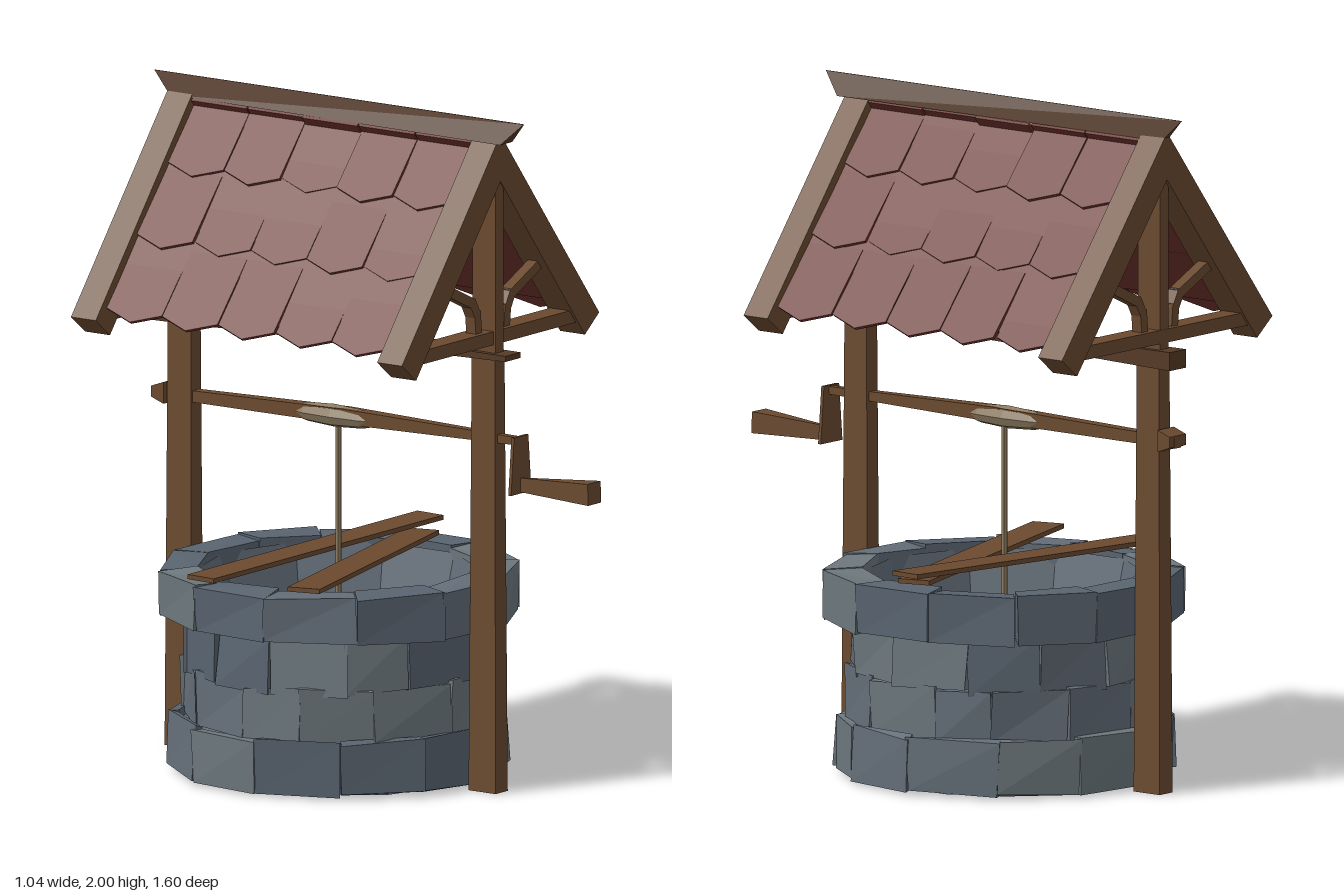
import * as THREE from 'three';

const mat = (color) => new THREE.MeshStandardMaterial({ color, flatShading: true, side: THREE.DoubleSide });
const WOOD = mat(0x6b4a2f), DARK_WOOD = mat(0x553a25), RED = mat(0x6b3029), ROPE = mat(0x8c7b60);
const STONES = [mat(0x636d78), mat(0x6c777c), mat(0x596470)];
const CX = -0.01, WELL_Z = -0.135, ROOF_Z = -0.14;
const SLOPE = 1.26, ANGLE = Math.atan(SLOPE);

let seed = 7;
const rand = () => (seed = (seed * 16807) % 2147483647) / 2147483647;
const jitter = (amount) => (rand() - 0.5) * 2 * amount;

function add(parent, name, geometry, material, x = 0, y = 0, z = 0) {
  const mesh = new THREE.Mesh(geometry, material);
  mesh.name = name;
  mesh.position.set(x, y, z);
  parent.add(mesh);
  return mesh;
}

// Moves every vertex of a geometry by a rule
function warp(geometry, rule) {
  const p = geometry.attributes.position, v = new THREE.Vector3();
  for (let i = 0; i < p.count; i++) {
    v.fromBufferAttribute(p, i);
    rule(v);
    p.setXYZ(i, v.x, v.y, v.z);
  }
  geometry.computeVertexNormals();
  return geometry;
}

// Squared timber from a to b; width and height at the start can be scaled
function beam(parent, name, a, b, w, h, startScale = [1, 1], material = WOOD) {
  const A = new THREE.Vector3(...a), B = new THREE.Vector3(...b);
  const geometry = warp(new THREE.BoxGeometry(w, h, A.distanceTo(B)), (v) => {
    if (v.z < 0) { v.x *= startScale[0]; v.y *= startScale[1]; }
  });
  const mesh = new THREE.Mesh(geometry, material);
  mesh.name = name;
  mesh.position.copy(A).lerp(B, 0.5);
  mesh.lookAt(B);
  parent.add(mesh);
}

// One rough block bent into a ring segment
function stoneBlock(a0, a1, r0, r1, y0, y1, rough) {
  const offsets = Array.from({ length: 8 }, () => [jitter(rough * 1.5), jitter(rough), jitter(rough)]);
  return warp(new THREE.BoxGeometry(1, 1, 1), (v) => {
    const o = offsets[(v.x > 0 ? 1 : 0) + (v.y > 0 ? 2 : 0) + (v.z > 0 ? 4 : 0)];
    const a = (v.x > 0 ? a1 : a0) + o[0];
    const r = v.z > 0 ? r1 + o[2] : r0;
    const y = Math.max(0.008, (v.y > 0 ? y1 : y0) + o[1]);
    v.set(r * Math.sin(a), y, r * Math.cos(a));
  });
}

function buildWell() {
  const well = new THREE.Group();
  well.name = 'stoneWell';
  well.position.set(0, 0, WELL_Z);
  // Lining with a ledge above the hollow base, open at the top and bottom
  const profile = [[0.47, 0.01], [0.46, 0.15], [0.36, 0.17], [0.385, 0.45], [0.415, 0.59]];
  add(well, 'innerShell', new THREE.LatheGeometry(profile.map((p) => new THREE.Vector2(...p)), 10), STONES[0]);
  // Rings of blocks: count, inner radius, outer radius, bottom, top, turn, roughness
  const rings = [
    ['baseStone', 12, 0.465, 0.495, 0.01, 0.17, 0.1, 0.009],
    ['lowerWallStone', 13, 0.4, 0.46, 0.16, 0.32, 0.3, 0.01],
    ['upperWallStone', 13, 0.4, 0.46, 0.31, 0.47, 0.05, 0.01],
    ['rimStone', 12, 0.415, 0.525, 0.465, 0.606, 0.2, 0.008],
  ];
  for (const [name, n, r0, r1, y0, y1, turn, rough] of rings) {
    const cuts = Array.from({ length: n }, (_, i) => turn + (i / n) * Math.PI * 2 + jitter(0.06));
    cuts.push(cuts[0] + Math.PI * 2);
    for (let i = 0; i < n; i++) {
      const block = stoneBlock(cuts[i], cuts[i + 1], r0, r1, y0, y1, rough);
      add(well, name, block, STONES[Math.floor(rand() * 3)]);
    }
  }
  return well;
}

// Timber chevron with tie beam and bent braces
function buildGable(z) {
  const gable = new THREE.Group();
  gable.name = 'gable';
  gable.position.z = z;
  const outline = [[0, 1.96], [-0.485, 1.35], [-0.415, 1.295], [0, 1.82], [0.415, 1.295], [0.485, 1.35]];
  const shape = new THREE.Shape(outline.map((p) => new THREE.Vector2(...p)));
  const boards = new THREE.ExtrudeGeometry(shape, { depth: 0.09, bevelEnabled: false });
  add(gable, 'gableBoards', boards, WOOD, 0, 0, -0.045);
  add(gable, 'tieBeam', new THREE.BoxGeometry(0.77, 0.04, 0.07), WOOD, 0, 1.355, 0);
  for (const s of [-1, 1]) {
    beam(gable, 'braceFoot', [s * 0.068, 1.365, 0], [s * 0.075, 1.44, 0], 0.035, 0.03);
    beam(gable, 'braceBend', [s * 0.072, 1.425, 0], [s * 0.1, 1.475, 0], 0.035, 0.03);
    beam(gable, 'braceArm', [s * 0.09, 1.465, 0], [s * 0.26, 1.545, 0], 0.035, 0.03);
  }
  return gable;
}

// One slope of the roof: a lining sheet and three rows of pointed shingles
function buildSlope() {
  const slope = new THREE.Group();
  slope.name = 'roofSlope';
  const up = new THREE.Vector3(-Math.cos(ANGLE), Math.sin(ANGLE), 0);
  const out = new THREE.Vector3(Math.sin(ANGLE), Math.cos(ANGLE), 0);
  const basis = new THREE.Matrix4().makeBasis(new THREE.Vector3(0, 0, -1), up, out);
  const lining = add(slope, 'roofLining', new THREE.BoxGeometry(1.03, 0.66, 0.012), RED, 0.205, 1.907 - 0.205 * SLOPE, 0);
  lining.quaternion.setFromRotationMatrix(basis);

  const pitch = 0.204, half = 0.1, length = 0.26;
  const points = [[-half, 0.035], [0, 0], [half, 0.035], [half, length], [-half, length]];
  const shape = new THREE.Shape(points.map((p) => new THREE.Vector2(...p)));
  const shingle = new THREE.ExtrudeGeometry(shape, { depth: 0.01, bevelEnabled: false });
  for (const x of [0.45, 0.295, 0.145]) {
    for (let i = -2; i <= 2; i++) {
      const tile = add(slope, 'shingle', shingle, RED, x + jitter(0.006), 1.914 - x * SLOPE, i * pitch);
      tile.quaternion.setFromRotationMatrix(basis);
      tile.rotateX(-0.04);
    }
  }
  return slope;
}

function buildRoof() {
  const roof = new THREE.Group();
  roof.name = 'roof';
  roof.position.set(CX, 0, ROOF_Z);
  roof.add(buildGable(0.555), buildGable(-0.555));
  for (const turn of [0, Math.PI]) {
    const slope = buildSlope();
    slope.rotation.y = turn;
    roof.add(slope);
  }
  // Ridge cap, narrower at the back, whose sharp top overhangs its base
  const ridge = warp(new THREE.BoxGeometry(0.06, 0.065, 1.21), (v) => {
    if (v.z < 0) v.x *= 0.45;
    if (v.y > 0) { v.x *= 0.06; v.z *= 1.107; }
  });
  add(roof, 'ridgeCap', ridge, DARK_WOOD, 0, 1.9675, 0.015);
  return roof;
}

function buildFrame() {
  const frame = new THREE.Group();
  frame.name = 'frame';
  for (const z of [0.415, -0.687]) {
    const lower = warp(new THREE.BoxGeometry(0.06, 1.31, 0.098), (v) => {
      if (v.y > 0) { v.x *= 0.8; v.z *= 0.85; }
    });
    add(frame, 'post', lower, WOOD, CX, 0.655, z);
    add(frame, 'kingPost', new THREE.BoxGeometry(0.04, 0.56, 0.083), WOOD, CX, 1.575, z);
  }
  beam(frame, 'lengthBeam', [CX, 1.302, 0.505], [CX, 1.29, -0.78], 0.075, 0.055, [1, 0.3], DARK_WOOD);
  return frame;
}

function buildWinch() {
  const winch = new THREE.Group();
  winch.name = 'winch';
  winch.position.x = CX;
  beam(winch, 'axleFront', [0, 1.055, 0.53], [0, 1.055, -0.1], 0.045, 0.045, [0.5, 0.5]);
  beam(winch, 'axleBack', [0, 1.045, -0.78], [0, 1.055, -0.1], 0.045, 0.045, [0.7, 0.7]);
  const axleEnd = warp(new THREE.BoxGeometry(0.075, 0.065, 0.045), (v) => {
    if (v.z < 0) v.y *= 0.5;
  });
  add(winch, 'axleEnd', axleEnd, WOOD, 0, 1.05, -0.757);
  // Crank arm and flared grip
  const arm = warp(new THREE.BoxGeometry(0.1, 0.17, 0.01), (v) => {
    if (v.y > 0) v.x *= 0.7;
  });
  add(winch, 'crankArm', arm, WOOD, 0, 0.985, 0.53);
  beam(winch, 'crankGrip', [0, 0.925, 0.53], [0, 0.932, 0.8], 0.064, 0.064, [0.1, 0.65]);
  // Wound rope and its hanging end
  const wrap = [[0.012, -0.165], [0.028, -0.1], [0.034, 0], [0.028, 0.1], [0.012, 0.165]];
  const coil = add(winch, 'ropeCoil', new THREE.LatheGeometry(wrap.map((p) => new THREE.Vector2(...p)), 8), ROPE, 0, 1.05, -0.14);
  coil.rotation.x = Math.PI / 2;
  add(winch, 'rope', new THREE.CylinderGeometry(0.01, 0.01, 1.03, 6), ROPE, 0.01, 0.525, -0.135);
  return winch;
}

export function createModel() {
  const model = new THREE.Group();
  model.name = 'wishingWell';
  model.add(buildWell(), buildFrame(), buildRoof(), buildWinch());
  // Loose planks lying across the rim
  beam(model, 'plank', [-0.49, 0.637, 0.1], [0.45, 0.626, -0.16], 0.1, 0.014);
  beam(model, 'plank', [-0.515, 0.632, -0.255], [0.52, 0.659, -0.185], 0.1, 0.014);
  return model;
}
